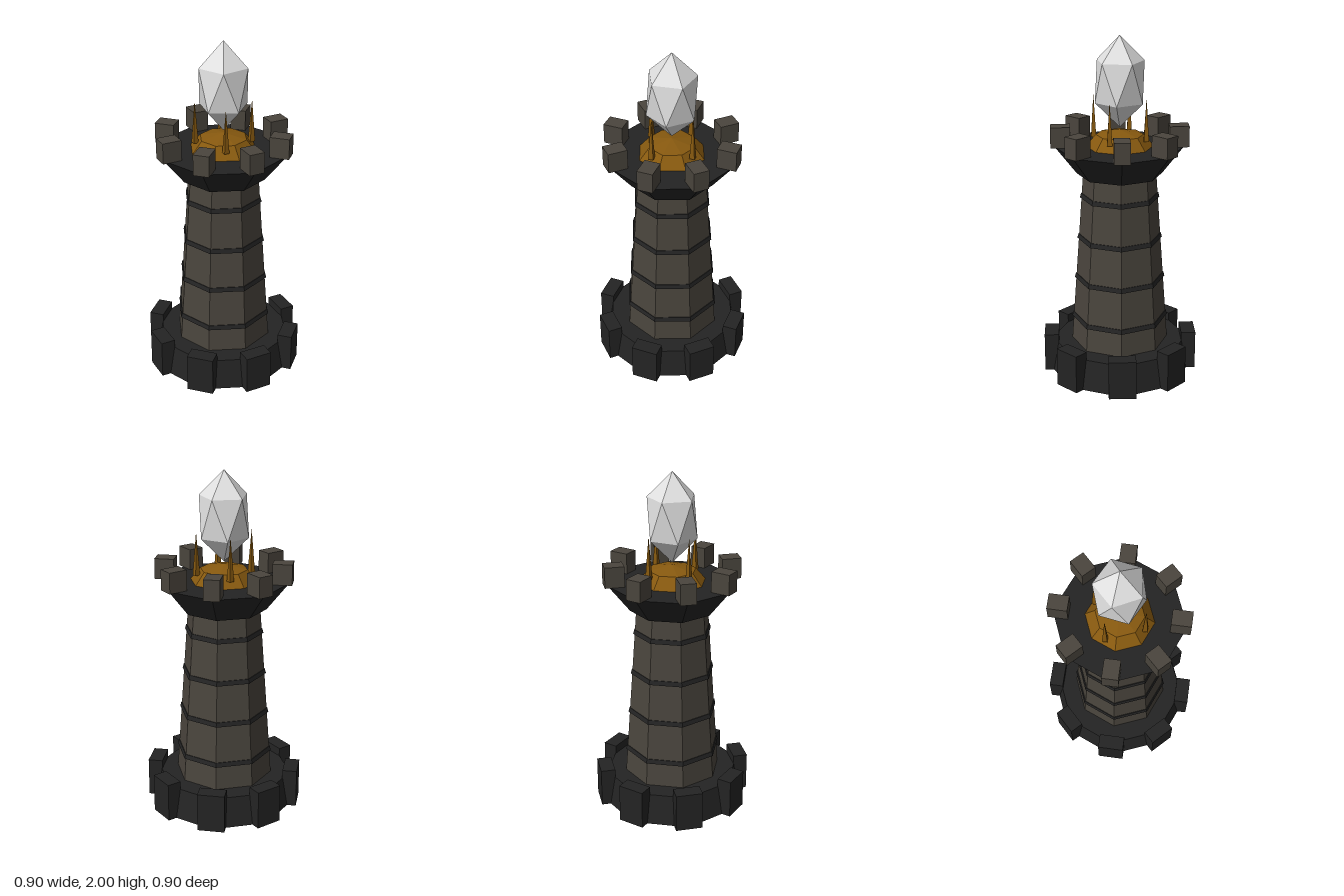
import * as THREE from 'three';
import { ConvexGeometry } from 'three/addons/geometries/ConvexGeometry.js';

const flat = (name, color) => new THREE.MeshStandardMaterial({ name, color, flatShading: true });

export function createModel() {
  const stone = flat('warm stone', 0x4a453d);
  const dark = flat('dark stone', 0x242424);
  const gold = flat('aged gold', 0x87590f);
  const crystalGrey = flat('pale crystal', 0xe0e0e0);

  const model = new THREE.Group();
  model.name = 'crystalTower';

  const add = (name, geometry, material, parent = model) => {
    const mesh = new THREE.Mesh(geometry, material);
    mesh.name = name;
    parent.add(mesh);
    return mesh;
  };

  // Eight-sided tapered section between two heights
  const section = (name, y0, y1, r0, r1, material) => {
    const mesh = add(name, new THREE.CylinderGeometry(r1, r0, y1 - y0, 8), material);
    mesh.position.y = (y0 + y1) / 2;
  };

  // Eight boxes around the axis, from radius r0 to r1
  const blockRing = (name, r0, r1, y0, y1, width, material) => {
    const ring = new THREE.Group();
    ring.name = name + 'Ring';
    model.add(ring);
    for (let i = 0; i < 8; i++) {
      const geometry = new THREE.BoxGeometry(width, y1 - y0, r1 - r0);
      geometry.translate(0, (y0 + y1) / 2, (r0 + r1) / 2);
      add(name, geometry, material, ring).rotation.y = i * Math.PI / 4;
    }
  };

  // Foundation with its buttresses
  section('base', 0, 0.18, 0.43, 0.4, dark);
  blockRing('buttress', 0.365, 0.45, 0, 0.23, 0.157, dark);

  // Tapered shaft with four thin bands
  const shaftRadius = (y) => 0.285 - (y - 0.18) * 0.0728;
  section('shaft', 0.17, 1.22, shaftRadius(0.17), shaftRadius(1.22), stone);
  for (const y of [0.335, 0.583, 0.83, 1.078]) {
    section('band', y - 0.013, y + 0.013, shaftRadius(y) + 0.01, shaftRadius(y) + 0.003, dark);
  }

  // Flared platform with merlons
  section('platform', 1.21, 1.37, 0.246, 0.372, dark);
  blockRing('merlon', 0.28, 0.392, 1.37, 1.49, 0.09, stone);

  // Faceted dome holding the crystal
  const dome = add('dome', new THREE.SphereGeometry(0.193, 8, 2, 0, Math.PI * 2, 0, Math.PI / 2), gold);
  dome.scale.y = 0.5;
  dome.position.y = 1.37;

  // Four spikes around the crystal
  for (let i = 0; i < 4; i++) {
    const angle = Math.PI / 8 + i * Math.PI / 2;
    const spike = add('spike', new THREE.ConeGeometry(0.021, 0.25, 4), gold);
    spike.position.set(0.159 * Math.cos(angle), 1.535, -0.159 * Math.sin(angle));
  }

  // Crystal: two offset five-point rings between two tips
  const points = [new THREE.Vector3(0, 2, 0), new THREE.Vector3(0, 1.48, 0)];
  for (let i = 0; i < 10; i++) {
    const a = i * Math.PI / 5;
    points.push(new THREE.Vector3(0.141 * Math.cos(a), i % 2 ? 1.624 : 1.856, 0.141 * Math.sin(a)));
  }
  add('crystal', new ConvexGeometry(points), crystalGrey);

  return model;
}
